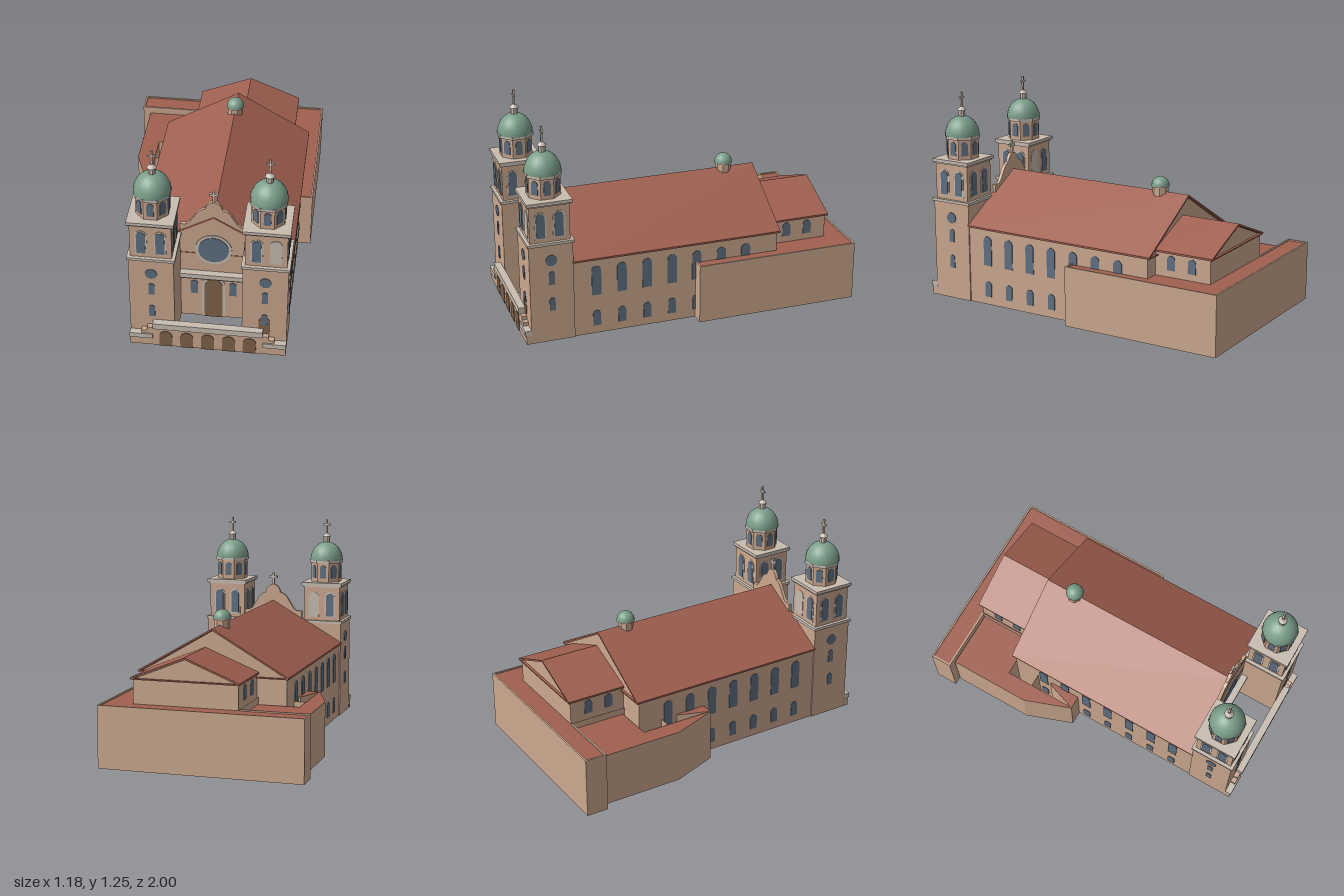
import * as THREE from 'three';

const mat = (name, color, side = THREE.FrontSide) => {
  const m = new THREE.MeshStandardMaterial({ color, side });
  m.name = name;
  return m;
};
const M = {
  wall: mat('sandstone wall', 0xcba88f, THREE.DoubleSide),
  stone: mat('pale stone', 0xc8bcb0),
  roof: mat('red roof', 0xa06050, THREE.DoubleSide),
  glass: mat('blue glass', 0x5f7082),
  door: mat('brown door', 0x80624a),
  dome: mat('green copper', 0x7b9e8a),
};
const CX = 0.075; // axis of the nave

function add(parent, name, geo, material, x = 0, y = 0, z = 0) {
  const m = new THREE.Mesh(geo, material);
  m.name = name;
  m.position.set(x, y, z);
  parent.add(m);
  return m;
}
// box given by its limits
function box(parent, name, material, x0, x1, y0, y1, z0, z1) {
  return add(parent, name, new THREE.BoxGeometry(x1 - x0, y1 - y0, z1 - z0), material,
    (x0 + x1) / 2, (y0 + y1) / 2, (z0 + z1) / 2);
}
function polygon(points) {
  return new THREE.Shape(points.map(p => new THREE.Vector2(p[0], p[1])));
}
function extrude(shape, depth) {
  return new THREE.ExtrudeGeometry(shape, { depth, bevelEnabled: false, curveSegments: 12 });
}
// vertical walls, open below, along a closed plan of [x, z] points
function walls(parent, name, plan, y0, y1) {
  const pos = [];
  plan.forEach(([ax, az], i) => {
    const [bx, bz] = plan[(i + 1) % plan.length];
    pos.push(ax, y0, az, bx, y0, bz, bx, y1, bz, ax, y0, az, bx, y1, bz, ax, y1, az);
  });
  const g = new THREE.BufferGeometry();
  g.setAttribute('position', new THREE.Float32BufferAttribute(pos, 3));
  g.computeVertexNormals();
  return add(parent, name, g, M.wall);
}
const rect = (x0, x1, z0, z1) => [[x0, z1], [x1, z1], [x1, z0], [x0, z0]];
// flat covering over a plan
function deck(parent, name, plan, y, material) {
  const g = new THREE.ShapeGeometry(polygon(plan.map(([x, z]) => [x, -z])));
  g.rotateX(-Math.PI / 2);
  return add(parent, name, g, material, 0, y, 0);
}
function arch(w, h) {
  const r = w / 2, s = new THREE.Shape();
  s.moveTo(-r, 0);
  s.lineTo(r, 0);
  s.lineTo(r, h - r);
  s.absarc(0, h - r, r, 0, Math.PI, false);
  s.lineTo(-r, 0);
  return s;
}
const disc = r => new THREE.Shape().absarc(0, 0, r, 0, Math.PI * 2, false);
// thin painted plate whose front looks along the turned +z
function plate(parent, name, shape, material, x, y, z, turn = 0, depth = 0.004) {
  const m = add(parent, name, extrude(shape, depth), material, x, y, z);
  m.rotation.y = turn;
  return m;
}
function faceted(geo) {
  const g = geo.toNonIndexed();
  g.computeVertexNormals();
  return g;
}
const octagon = (r0, r1, h) => faceted(new THREE.CylinderGeometry(r1, r0, h, 8, 1, false, Math.PI / 8));

function cross(parent, x, y, z, h, w, t) {
  const g = new THREE.Group();
  g.name = 'cross';
  parent.add(g);
  box(g, 'upright', M.stone, x - t / 2, x + t / 2, y, y + h, z - t / 2, z + t / 2);
  box(g, 'arm', M.stone, x - w / 2, x + w / 2, y + h * 0.58, y + h * 0.58 + t, z - t / 2, z + t / 2);
}

// bell tower; side is the outward x direction
function tower(side) {
  const g = new THREE.Group();
  g.name = side > 0 ? 'leftTower' : 'rightTower';
  g.position.set(CX + side * 0.3175, 0, 0.833);
  const a = 0.127, b = 0.116;
  walls(g, 'shaft', rect(-a, a, -a, a), 0, 0.6);
  box(g, 'lowerCornice', M.stone, -0.135, 0.135, 0.597, 0.614, -0.135, 0.135);
  box(g, 'belfry', M.wall, -b, b, 0.614, 0.832, -b, b);
  box(g, 'upperCorniceStep', M.stone, -0.124, 0.124, 0.829, 0.838, -0.124, 0.124);
  box(g, 'upperCornice', M.stone, -0.131, 0.131, 0.838, 0.857, -0.131, 0.131);

  // shaft openings on the front and the outer face
  for (const turn of [0, side * Math.PI / 2]) {
    const x = Math.sin(turn) * a, z = Math.cos(turn) * a;
    plate(g, 'roundWindow', disc(0.033), M.glass, x, 0.504, z, turn);
    plate(g, 'shaftWindow', arch(0.034, 0.08), M.glass, x, 0.355, z, turn);
    plate(g, 'shaftWindow', arch(0.034, 0.08), M.glass, x, 0.193, z, turn);
  }
  if (side > 0) plate(g, 'towerDoor', arch(0.064, 0.12), M.door, 0, 0.13, a, 0, 0.002);

  // belfry windows, two on each face, one of them blind
  for (let i = 0; i < 4; i++) {
    const t = i * Math.PI / 2, c = Math.cos(t), s = Math.sin(t);
    for (const u of [-0.053, 0.053]) {
      const x = s * b + c * u, z = c * b - s * u;
      plate(g, 'windowFrame', arch(0.068, 0.161), M.stone, x, 0.636, z, t, 0.003);
      const blind = (side > 0 && i === 0 && u > 0) || (side < 0 && i === 2 && u < 0);
      if (!blind) plate(g, 'belfryWindow', arch(0.05, 0.145), M.glass, x, 0.643, z, t, 0.006);
    }
  }

  // eight-sided drum, dome and lantern
  add(g, 'drum', octagon(0.098, 0.098, 0.125), M.wall, 0, 0.918, 0);
  for (let i = 0; i < 8; i++) {
    const t = i * Math.PI / 4;
    plate(g, 'drumWindow', arch(0.04, 0.083), M.glass, Math.sin(t) * 0.0905, 0.881, Math.cos(t) * 0.0905, t);
  }
  add(g, 'domeRing', octagon(0.108, 0.108, 0.017), M.stone, 0, 0.986, 0);
  const dome = add(g, 'dome', new THREE.SphereGeometry(0.104, 18, 8, 0, Math.PI * 2, 0, Math.PI / 2), M.dome, 0, 0.994, 0);
  dome.scale.y = 1.12;
  add(g, 'lantern', octagon(0.021, 0.021, 0.045), M.stone, 0, 1.125, 0);
  add(g, 'lanternCap', octagon(0.028, 0.008, 0.02), M.stone, 0, 1.155, 0);
  cross(g, 0, 1.162, 0, 0.091, 0.042, 0.011);
  return g;
}

// pitched roof with a ceiling slab and wall-coloured pediments
function gableRoof(parent, name, cx, half, eave, ridge, z0, z1, inset) {
  const g = new THREE.Group();
  g.name = name;
  g.position.set(cx, 0, 0);
  parent.add(g);
  const t = 0.011;
  add(g, 'roofSlopes', extrude(polygon([[-half, eave - t], [0, ridge - t], [half, eave - t], [half, eave], [0, ridge], [-half, eave]]), z1 - z0), M.roof, 0, 0, z0);
  box(g, 'ceiling', M.roof, -half, half, eave - t, eave - 0.004, z0, z1);
  add(g, 'pediment', extrude(polygon([[-half + 0.02, eave - 0.006], [half - 0.02, eave - 0.006], [0, ridge - t - 0.002]]), z1 - z0 - 2 * inset), M.wall, 0, 0, z0 + inset);
}

export function createModel() {
  const root = new THREE.Group();
  root.name = 'church';

  // nave
  walls(root, 'naveWalls', rect(-0.362, 0.512, -0.528, 0.706), 0, 0.47);
  gableRoof(root, 'naveRoof', CX, 0.45, 0.477, 0.737, -0.545, 0.712, 0.016);
  for (const s of [-1, 1]) for (let i = 0; i < 7; i++) {
    const x = CX + s * 0.437, z = 0.573 - i * 0.151;
    plate(root, 'upperNaveWindow', arch(0.056, 0.18), M.glass, x, 0.245, z, s * Math.PI / 2);
    plate(root, 'lowerNaveWindow', arch(0.046, 0.095), M.glass, x, 0.05, z, s * Math.PI / 2);
  }
  add(root, 'roofTurret', octagon(0.046, 0.046, 0.09), M.wall, CX, 0.735, -0.356);
  add(root, 'turretDome', new THREE.SphereGeometry(0.053, 16, 7, 0, Math.PI * 2, 0, Math.PI / 2), M.dome, CX, 0.77, -0.356);
  add(root, 'turretRing', new THREE.CylinderGeometry(0.053, 0.053, 0.006, 16), M.stone, CX, 0.768, -0.356);

  // curved facade between the towers
  const half = [[0.191, 0], [0.191, 0.673], [0.155, 0.674], [0.138, 0.687], [0.117, 0.72], [0.098, 0.752], [0.08, 0.774],
    [0.06, 0.785], [0.05, 0.788], [0.043, 0.808], [0.03, 0.827], [0.015, 0.837]];
  const outline = [...half, [0, 0.839], ...half.map(([x, y]) => [-x, y]).reverse()];
  add(root, 'facade', extrude(polygon(outline), 0.02), M.wall, CX, 0, 0.69);
  cross(root, CX, 0.836, 0.7, 0.076, 0.053, 0.014);
  plate(root, 'roseFrame', disc(0.104), M.stone, CX, 0.504, 0.71, 0, 0.005);
  plate(root, 'roseWindow', disc(0.087), M.glass, CX, 0.504, 0.71, 0, 0.008);
  box(root, 'ledge', M.stone, -0.115, 0.265, 0.312, 0.342, 0.71, 0.75);
  box(root, 'ledgeStep', M.stone, -0.115, 0.265, 0.302, 0.312, 0.71, 0.742);
  plate(root, 'portalFrame', arch(0.134, 0.302), M.stone, CX, 0, 0.71, 0, 0.003);
  plate(root, 'portal', arch(0.104, 0.284), M.door, CX, 0, 0.71, 0, 0.006);
  for (const s of [-1, 1]) plate(root, 'facadeWindow', arch(0.042, 0.095), M.glass, CX + s * 0.112, 0.17, 0.71);

  // towers
  root.add(tower(-1), tower(1));

  // arcade wall in front, stepped at both ends
  const step = [[0.445, 0], [0.445, 0.083], [0.378, 0.083], [0.378, 0.106], [0.345, 0.106], [0.345, 0.13]];
  add(root, 'arcadeWall', extrude(polygon([...step, ...step.map(([x, y]) => [-x, y]).reverse()]), 0.03), M.wall, CX, 0, 0.96);
  box(root, 'arcadeRail', M.stone, CX - 0.312, CX + 0.312, 0.128, 0.167, 0.957, 1);
  for (const s of [-1, 1]) {
    const x = CX + s * 0.38;
    box(root, 'endRail', M.stone, x - 0.066, x + 0.066, 0.053, 0.084, 0.957, 0.998);
  }
  for (let i = -2; i <= 2; i++) plate(root, 'arcadeArch', arch(0.074, 0.11), M.door, CX + i * 0.1192, 0, 0.99);

  // rear hall
  walls(root, 'rearHallWalls', rect(-0.187, 0.423, -0.875, -0.528), 0.3, 0.495);
  gableRoof(root, 'rearHallRoof', 0.118, 0.317, 0.5, 0.627, -0.89, -0.53, 0.016);
  for (const s of [-1, 1]) for (const z of [-0.628, -0.76]) {
    plate(root, 'rearHallWindow', arch(0.05, 0.085), M.glass, 0.118 + s * 0.305, 0.39, z, s * Math.PI / 2);
  }

  // low wing wrapping the back and the left side
  const wing = [[-0.592, -1], [0.588, -1], [0.588, -0.024], [0.512, -0.024], [0.512, -0.528], [-0.195, -0.528], [-0.195, -0.87], [-0.592, -0.87]];
  walls(root, 'wingWalls', wing, 0, 0.356);
  deck(root, 'wingRoof', wing, 0.35, M.roof);
  const c = 0.01;
  box(root, 'copingBack', M.wall, -0.592, 0.588, 0.35, 0.358, -1, -1 + c);
  box(root, 'copingSide', M.wall, 0.588 - c, 0.588, 0.35, 0.358, -1, -0.024);
  box(root, 'copingFront', M.wall, 0.512, 0.588, 0.35, 0.358, -0.024 - c, -0.024);
  box(root, 'copingEnd', M.wall, -0.592, -0.592 + c, 0.35, 0.358, -1, -0.87);
  box(root, 'copingInner', M.wall, -0.592, -0.195, 0.35, 0.358, -0.87 - c, -0.87);

  // lower wing on the right side with a narrow yard beside the nave
  const annex = [[-0.195, -0.865], [-0.545, -0.865], [-0.545, -0.37], [-0.443, -0.09], [-0.362, -0.09], [-0.362, -0.28],
    [-0.375, -0.28], [-0.438, -0.1], [-0.438, -0.54], [-0.195, -0.54]];
  walls(root, 'annexWalls', annex, 0, 0.318);
  deck(root, 'annexRoof', annex, 0.316, M.roof);
  box(root, 'yardWall', M.wall, -0.44, -0.362, 0, 0.312, -0.379, -0.373);
  return root;
}
